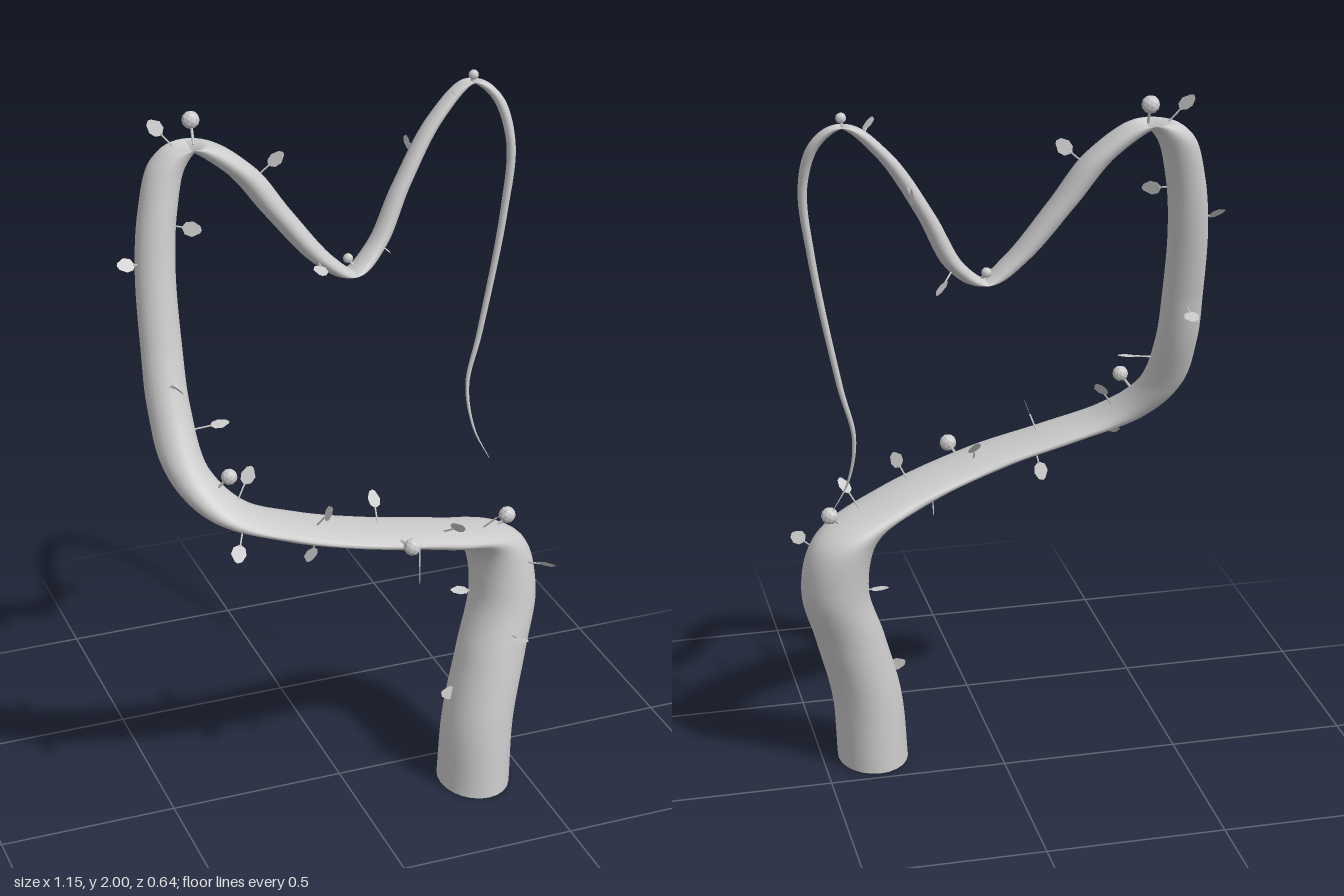
import * as THREE from 'three';

const V = (x, y, z) => new THREE.Vector3(x, y, z);
const material = new THREE.MeshStandardMaterial({ color: 0xcccccc, side: THREE.DoubleSide });
const faceted = new THREE.MeshStandardMaterial({ color: 0xcccccc, side: THREE.DoubleSide, flatShading: true });

// Centre line of the vine, from the root to the hanging tip
const path = new THREE.CatmullRomCurve3([
  [.355, 0, .145], [.37, .2, .135], [.42, .4, .105], [.465, .57, .07], [.43, .72, .065],
  [.25, .805, .13], [0, .88, .177], [-.2, .935, .172], [-.37, 1, .14], [-.455, 1.1, .07],
  [-.475, 1.25, -.01], [-.475, 1.4, -.06], [-.47, 1.6, -.11], [-.45, 1.75, -.14], [-.41, 1.87, -.165],
  [-.35, 1.91, -.168], [-.22, 1.83, -.155], [-.12, 1.7, -.14], [0, 1.555, -.128], [.085, 1.5, -.135],
  [.17, 1.56, -.165], [.25, 1.71, -.19], [.36, 1.88, -.215], [.465, 1.965, -.225], [.53, 1.92, -.205],
  [.56, 1.8, -.17], [.54, 1.6, -.158], [.475, 1.25, -.155], [.44, 1.1, -.15], [.455, .97, -.13],
  [.495, .88, -.11],
].map((p) => V(...p)));
const SPANS = path.points.length - 1;

// Half widths of the level cross-sections: [path point, along x, along z]
const widths = [
  [0, .1, .122], [2, .097, .105], [4, .09, .097], [6, .085, .093], [8, .068, .085],
  [9, .058, .07], [11, .055, .05], [14, .05, .052], [16, .042, .048], [19, .03, .038],
  [21, .024, .03], [23, .02, .024], [25, .012, .016], [27, .008, .008], [30, .001, .001],
];
function widthAt(t) {
  const s = t * SPANS;
  let i = 0;
  while (i < widths.length - 2 && s > widths[i + 1][0]) i++;
  const [a, b] = [widths[i], widths[i + 1]];
  const k = (s - a[0]) / (b[0] - a[0]);
  return [1, 2].map((j) => THREE.MathUtils.lerp(a[j], b[j], k));
}

// Level elliptical rings swept along the path
function vineGeometry(rings = 300, sides = 24) {
  const pos = [], index = [];
  for (let i = 0; i <= rings; i++) {
    const c = path.getPoint(i / rings), [rx, rz] = widthAt(i / rings);
    for (let j = 0; j < sides; j++) {
      const a = (j / sides) * Math.PI * 2;
      pos.push(c.x + rx * Math.cos(a), c.y, c.z + rz * Math.sin(a));
      if (i === rings) continue;
      const p = i * sides + j, q = i * sides + ((j + 1) % sides);
      index.push(p, p + sides, q, q, p + sides, q + sides);
    }
  }
  const g = new THREE.BufferGeometry();
  g.setAttribute('position', new THREE.Float32BufferAttribute(pos, 3));
  g.setIndex(index);
  g.computeVertexNormals();
  return g;
}

const samples = path.getPoints(300);
const nearest = (p) => samples.reduce((a, b) => (b.distanceToSquared(p) < a.distanceToSquared(p) ? b : a));

function add(parent, name, geometry, mat) {
  const m = new THREE.Mesh(geometry, mat);
  m.name = name;
  parent.add(m);
  return m;
}

// Thin stalk from the vine's centre line to a point
function addStalk(parent, from, to, r) {
  const dir = to.clone().sub(from);
  const stalk = add(parent, 'stalk', new THREE.CylinderGeometry(r, r, dir.length(), 5), material);
  stalk.position.copy(from).addScaledVector(dir, 0.5);
  stalk.quaternion.setFromUnitVectors(V(0, 1, 0), dir.normalize());
}

// Flat angular leaf blade, centred on its length
const blade = new THREE.ShapeGeometry(new THREE.Shape(
  [[0, -.026], [.017, -.015], [.021, .004], [.008, .024], [0, .028], [-.012, .022], [-.02, .002], [-.015, -.016]]
    .map(([x, y]) => new THREE.Vector2(x, y))));

// Facing directions of the blades
const facing = { x: V(1, .1, .2), y: V(.1, 1, .15), z: V(.2, .1, 1), d: V(0, 1, 1), e: V(1, 1, 0), f: V(1, 1, 1) };
const leaves = [
  [-.435, 1.96, -.185, 'z'], [-.125, 1.85, -.14, 'z'], [-.375, 1.71, -.09, 'z'], [-.55, 1.63, -.1, 'd'],
  [-.478, 1.345, .085, 'e'], [-.35, 1.2, .03, 'y'], [-.3, 1.075, .11, 'y'], [-.365, .91, .22, 'y'],
  [-.12, .99, .235, 'f'], [-.14, .83, .155, 'z'], [.06, .935, .105, 'z'], [.16, .73, .195, 'x'],
  [.257, .87, .225, 'e'], [.418, .84, .148, 'y'], [.345, .565, .05, 'y'], [.45, .485, .24, 'y'],
  [.545, .68, .187, 'e'], [.285, .285, .13, 'z'], [.215, 1.52, -.215, 'e'], [.305, 1.79, -.287, 'x'],
  [.392, 1.955, -.18, 'd'], [-.03, 1.555, -.057, 'd'], [-.475, 1.365, -.15, 'y'],
];
const buds = [
  [-.335, 1.965, -.2, .024], [.467, 1.984, -.217, .014], [.085, 1.533, -.158, .014],
  [-.365, 1.103, .15, .022], [.095, .88, .297, .024], [.475, .79, .067, .024],
];

export function createModel() {
  const model = new THREE.Group();
  model.name = 'vine';
  add(model, 'vineStem', vineGeometry(), material);

  // Closed root end
  const root = add(model, 'rootCap', new THREE.CircleGeometry(1, 24), material);
  root.rotation.x = Math.PI / 2;
  root.scale.set(widths[0][1], widths[0][2], 1);
  root.position.copy(path.points[0]);

  for (const [x, y, z, face] of leaves) {
    const leaf = new THREE.Group();
    leaf.name = 'leaf';
    const centre = V(x, y, z), base = nearest(centre);
    const up = centre.clone().sub(base).normalize();
    const side = up.clone().cross(facing[face]).normalize();
    const normal = side.clone().cross(up);
    const b = add(leaf, 'blade', blade, material);
    b.quaternion.setFromRotationMatrix(new THREE.Matrix4().makeBasis(side, up, normal));
    b.position.copy(centre);
    addStalk(leaf, base, centre.clone().addScaledVector(up, -.02), .0025);
    model.add(leaf);
  }

  for (const [x, y, z, r] of buds) {
    const bud = new THREE.Group();
    bud.name = 'bud';
    const centre = V(x, y, z);
    add(bud, 'berry', new THREE.IcosahedronGeometry(r, 1), faceted).position.copy(centre);
    addStalk(bud, nearest(centre), centre, .004);
    model.add(bud);
  }
  return model;
}
